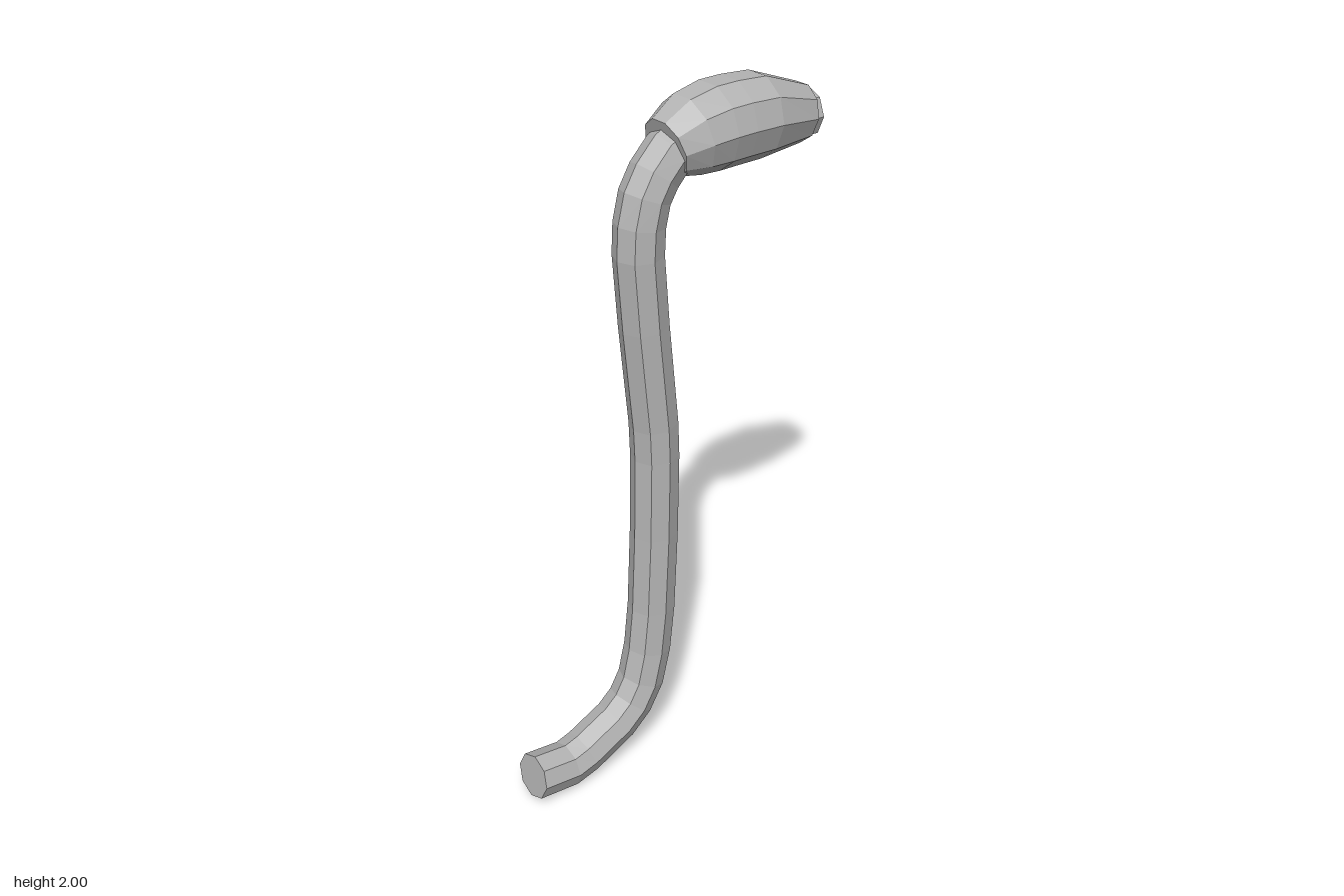
import * as THREE from 'three';

// Sweeps a regular polygon through rings [x, y, radius, tilt] lying in the xy plane
function sweep(rings, sides, phase) {
  const pos = [];
  const point = ([x, y, r, t], j) => {
    const a = ((j + phase) / sides) * Math.PI * 2;
    const up = r * Math.cos(a);
    return [x - Math.sin(t) * up, y + Math.cos(t) * up, r * Math.sin(a)];
  };
  const tri = (a, b, c) => pos.push(...a, ...b, ...c);
  const first = rings[0], last = rings[rings.length - 1];
  for (let j = 0; j < sides; j++) {
    for (let i = 0; i < rings.length - 1; i++) {
      const a = point(rings[i], j), b = point(rings[i], j + 1);
      const c = point(rings[i + 1], j + 1), d = point(rings[i + 1], j);
      tri(a, b, c);
      tri(a, c, d);
    }
    // End caps
    tri([first[0], first[1], 0], point(first, j + 1), point(first, j));
    tri([last[0], last[1], 0], point(last, j), point(last, j + 1));
  }
  const geometry = new THREE.BufferGeometry();
  geometry.setAttribute('position', new THREE.Float32BufferAttribute(pos, 3));
  geometry.computeVertexNormals(); // unshared corners give flat facets
  return geometry;
}

export function createModel() {
  const group = new THREE.Group();
  group.name = 'crankHandle';
  const grey = new THREE.MeshStandardMaterial({ color: 0xb4b4b4 });
  grey.name = 'grey metal';

  // Bent octagonal rod, running on through the grip to its tip
  const path = [
    [-0.48, 0.087], [-0.36, 0.07], [-0.3, 0.085], [-0.18, 0.14], [-0.125, 0.187],
    [-0.085, 0.255], [-0.06, 0.36], [-0.045, 0.5], [-0.034, 0.75], [-0.03, 1],
    [-0.034, 1.1], [-0.065, 1.4], [-0.081, 1.6], [-0.077, 1.68], [-0.06, 1.75],
    [-0.03, 1.8], [0.015, 1.847], [0.08, 1.875], [0.2, 1.888], [0.4, 1.862], [0.483, 1.86],
  ];
  const angle = (a, b) => Math.atan2(b[1] - a[1], b[0] - a[0]);
  const rodRings = path.map((p, i) => {
    const before = angle(path[Math.max(i - 1, 0)], path[Math.max(i, 1)]);
    const after = i < path.length - 1 ? angle(p, path[i + 1]) : 0;
    return [p[0], p[1], 0.068, (before + after) / 2];
  });
  const rod = new THREE.Mesh(sweep(rodRings, 8, 0), grey);
  rod.name = 'rod';
  group.add(rod);

  // Barrel-shaped ten-sided grip, slightly arched
  const gripRings = [
    [0.008, 1.862, 0.08, 0.3], [0.077, 1.881, 0.107, 0.18], [0.148, 1.889, 0.116, 0.06],
    [0.21, 1.89, 0.116, 0], [0.3, 1.887, 0.113, -0.05], [0.453, 1.863, 0.08, -0.14],
  ];
  const grip = new THREE.Mesh(sweep(gripRings, 10, 0.5), grey);
  grip.name = 'grip';
  group.add(grip);

  return group;
}
